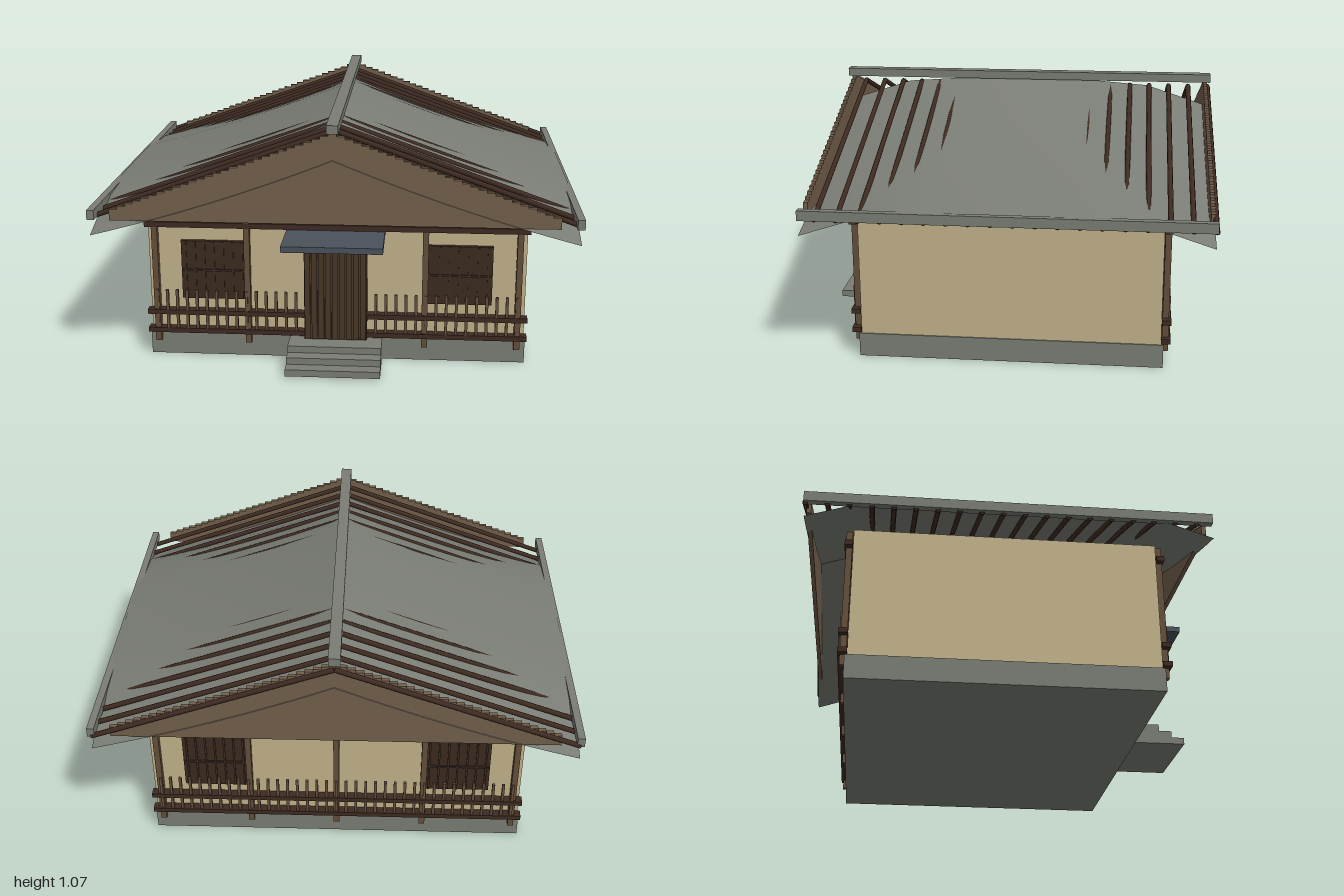
import * as THREE from 'three';

const paint = (name, color) => {
  const m = new THREE.MeshStandardMaterial({ color });
  m.name = name;
  return m;
};

export function createModel() {
  const model = new THREE.Group();
  model.name = 'house';
  const stone = paint('grey stone', 0x7a7d75);
  const roofing = paint('grey roofing', 0x7a7d75);
  roofing.side = THREE.DoubleSide;
  const plaster = paint('sand plaster', 0xc2b28a);
  const plankWood = paint('gable wood', 0x735f4b);
  const postWood = paint('post wood', 0x644e3b);
  const darkWood = paint('dark wood', 0x3e2b22);
  const windowWood = paint('window wood', 0x3b2a1f);
  const doorWood = paint('door wood', 0x483726);
  const slate = paint('blue slate', 0x4a525a);

  const add = (name, geometry, material, parent = model) => {
    const mesh = new THREE.Mesh(geometry, material);
    mesh.name = name;
    parent.add(mesh);
    return mesh;
  };
  // Box given by its lower and upper limits on each axis
  const box = (name, material, x0, x1, y0, y1, z0, z1, parent) => {
    const mesh = add(name, new THREE.BoxGeometry(x1 - x0, y1 - y0, z1 - z0), material, parent);
    mesh.position.set((x0 + x1) / 2, (y0 + y1) / 2, (z0 + z1) / 2);
    return mesh;
  };
  const group = (name) => {
    const g = new THREE.Group();
    g.name = name;
    model.add(g);
    return g;
  };

  // Body
  box('foundation', stone, -0.8, 0.8, 0, 0.1, -0.655, 0.605);
  box('walls', plaster, -0.795, 0.795, 0.1, 0.655, -0.645, 0.595);

  // Entrance steps
  for (let i = 0; i < 3; i++) {
    box('step', stone, -0.197, 0.197, 0.01 + i * 0.029, 0.039 + i * 0.029, 0.6, 0.83 - i * 0.055);
  }

  // Front door with raised planks, and its canopy
  const door = group('door');
  box('doorPanel', doorWood, -0.132, 0.132, 0.1, 0.55, 0.595, 0.645, door);
  for (let i = 0; i < 9; i++) {
    const x = -0.132 + i * 0.0293;
    box('doorPlank', doorWood, x + 0.003, x + 0.0263, 0.105, 0.545, 0.645, 0.657, door);
  }
  box('doorCanopy', slate, -0.205, 0.205, 0.555, 0.58, 0.595, 0.845);

  // Posts, beams, fences and windows on front (1) and back (-1)
  for (const s of [1, -1]) {
    const wallZ = s > 0 ? 0.595 : -0.645;
    const side = group(s > 0 ? 'frontVeranda' : 'backVeranda');
    const onWall = (name, mat, x0, x1, y0, y1, d0, d1) => {
      const a = wallZ + s * d0, b = wallZ + s * d1;
      box(name, mat, x0, x1, y0, y1, Math.min(a, b), Math.max(a, b), side);
    };
    for (const x of [-0.765, -0.375, 0, 0.375, 0.765]) {
      onWall('post', postWood, x - 0.0125, x + 0.0125, 0.065, 0.655, 0.003, 0.029);
    }
    onWall('topBeam', darkWood, -0.805, 0.805, 0.58, 0.603, 0.002, 0.034);
    for (const y of [0.107, 0.19]) {
      onWall('fenceRail', darkWood, -0.805, 0.805, y, y + 0.021, 0, 0.038);
    }
    for (let i = -18; i <= 18; i++) {
      const x = i * 0.0423;
      if (s > 0 && Math.abs(x) < 0.14) continue;
      onWall('fencePicket', postWood, x - 0.006, x + 0.006, 0.115, 0.3, 0.022, 0.034);
    }
    for (const c of [-0.517, 0.517]) {
      onWall('window', windowWood, c - 0.138, c + 0.138, 0.26, 0.517, 0, 0.018);
      for (let i = -3; i <= 3; i++) {
        const x = c + i * 0.04;
        onWall('windowBar', darkWood, x - 0.004, x + 0.004, 0.263, 0.514, 0.018, 0.023);
      }
      onWall('windowCrossBar', darkWood, c - 0.135, c + 0.135, 0.385, 0.393, 0.018, 0.025);
    }
  }

  // Curved roof: slopes dip between ridge and eave, and sink toward both ends
  const roofMid = -0.025, roofHalf = 0.81, roofWidth = 0.99;
  for (const s of [1, -1]) {
    const geo = new THREE.PlaneGeometry(1, 1, 16, 6).rotateX(-Math.PI / 2);
    const p = geo.attributes.position;
    for (let i = 0; i < p.count; i++) {
      const x = p.getX(i) + s * 0.5, t = p.getZ(i) * 2, u = Math.abs(x);
      const y = 1.03 - 0.33 * u - 0.078 * u * (1 - u) - 0.11 * t ** 4;
      p.setXYZ(i, x * roofWidth, y, roofMid + t * roofHalf);
    }
    geo.computeVertexNormals();
    add('roofSlope', geo, roofing);
    box('eaveBoard', stone, s > 0 ? 0.97 : -1, s > 0 ? 1 : -0.97, 0.655, 0.696, -0.84, 0.785);
  }
  box('ridgeBeam', stone, -0.024, 0.024, 1.03, 1.065, -0.845, 0.797);

  // Round rafters following each slope
  const rafters = group('rafters');
  const run = 0.985, drop = 0.353;
  const rafterGeo = new THREE.CylinderGeometry(0.011, 0.011, Math.hypot(run, drop), 8);
  for (let i = 0; i < 19; i++) {
    for (const s of [1, -1]) {
      const r = add('rafter', rafterGeo, darkWood, rafters);
      r.position.set(s * run / 2, 1.008 - drop / 2, -0.834 + i * 0.0864);
      r.rotation.z = s * Math.atan2(run, drop);
    }
  }

  // Gable planks with stepped tops
  for (const z of [0.773, -0.823]) {
    const gable = group(z > 0 ? 'frontGable' : 'backGable');
    const w = 0.033;
    for (let i = -27; i <= 27; i++) {
      const x = i * w, top = 1.03 - 0.368 * Math.abs(x);
      box('gablePlank', plankWood, x - w / 2, x + w / 2, 0.655, top, z - 0.009, z + 0.009, gable);
    }
  }
  return model;
}
